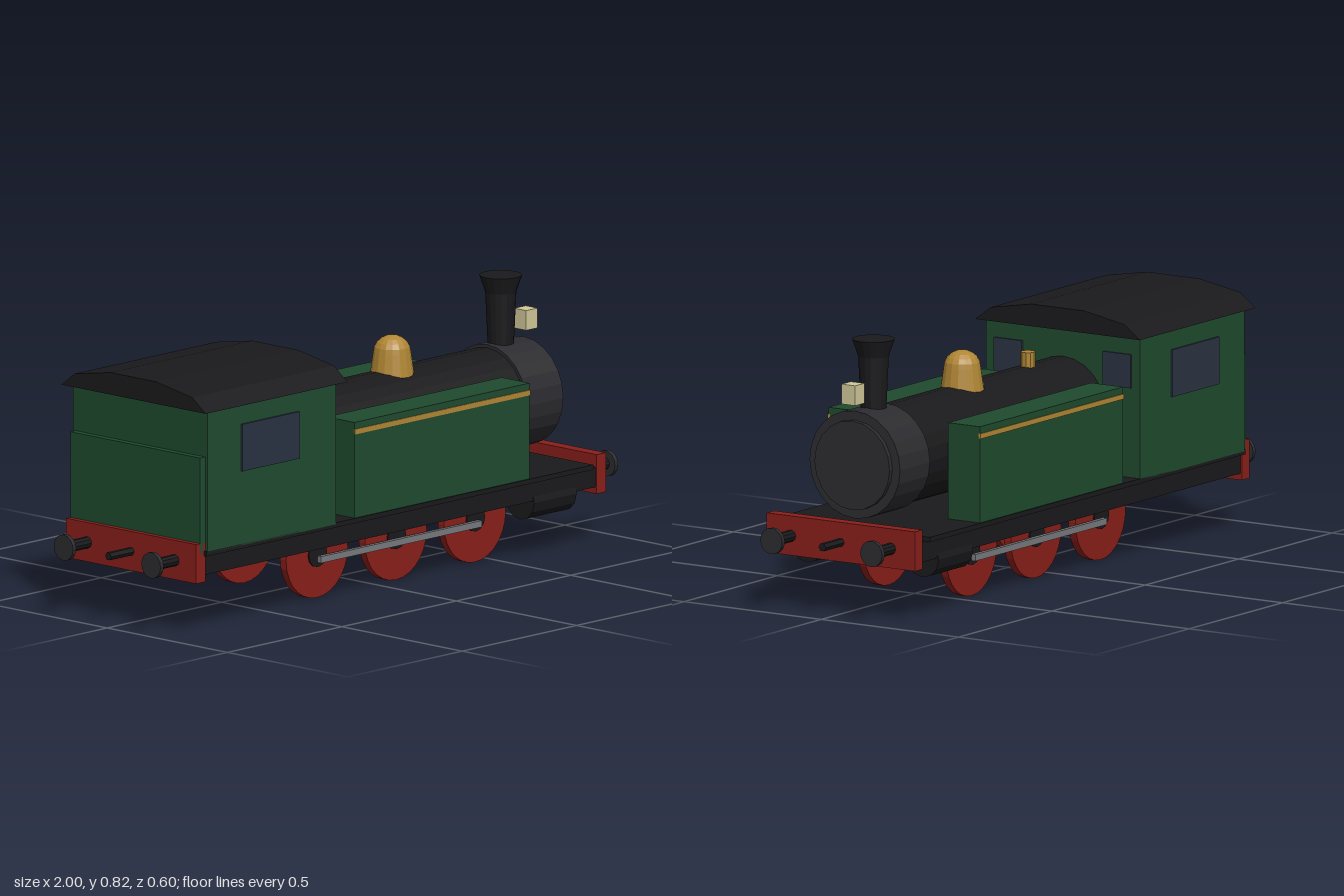
import * as THREE from 'three';

const mat = (color) => new THREE.MeshStandardMaterial({ color, flatShading: true });

export function createModel() {
  const root = new THREE.Group();
  const black = mat(0x1a1a1c), iron = mat(0x2c2c30), green = mat(0x1f4a2e), red = mat(0x8a1f1a);
  const brass = mat(0xb08634), glass = mat(0x2a3242), steel = mat(0x777a7d), cream = mat(0xd0c898);

  const add = (name, geometry, material, x = 0, y = 0, z = 0) => {
    const mesh = new THREE.Mesh(geometry, material);
    mesh.name = name;
    mesh.position.set(x, y, z);
    root.add(mesh);
    return mesh;
  };
  // Box given by its limits on each axis
  const box = (name, material, x0, x1, y0, y1, z0, z1) =>
    add(name, new THREE.BoxGeometry(x1 - x0, y1 - y0, z1 - z0), material,
      (x0 + x1) / 2, (y0 + y1) / 2, (z0 + z1) / 2);
  // Cylinder lying along x
  const barrel = (name, material, x0, x1, r, y, z, sides) =>
    add(name, new THREE.CylinderGeometry(r, r, Math.abs(x1 - x0), sides).rotateZ(-Math.PI / 2),
      material, (x0 + x1) / 2, y, z);
  const lathe = (name, material, points, sides, x) =>
    add(name, new THREE.LatheGeometry(points.map(p => new THREE.Vector2(...p)), sides), material, x);

  // Frame and running plate
  box('frame', black, -0.86, 0.86, 0.18, 0.242, -0.265, 0.265);
  box('runningPlate', black, -0.86, 0.83, 0.24, 0.255, -0.28, 0.28);

  // Boiler, smokebox and its door
  barrel('boiler', black, -0.3, 0.67, 0.155, 0.446, 0, 24);
  barrel('smokebox', iron, 0.66, 0.82, 0.165, 0.446, 0, 24);
  barrel('smokeboxDoor', iron, 0.82, 0.835, 0.137, 0.446, 0, 20);

  // Boiler fittings
  lathe('chimney', black, [[0, 0.59], [0.039, 0.59], [0.047, 0.765], [0.065, 0.817], [0, 0.817]], 16, 0.72);
  const domePoints = [[0.067, 0.585], [0.057, 0.655]];
  for (let i = 1; i <= 5; i++) {
    const a = i * Math.PI / 10;
    domePoints.push([0.057 * Math.cos(a), 0.655 + 0.052 * Math.sin(a)]);
  }
  lathe('steamDome', brass, domePoints, 16, 0.245);
  add('safetyValve', new THREE.CylinderGeometry(0.022, 0.022, 0.06, 10), brass, -0.107, 0.615);
  box('lamp', cream, 0.805, 0.855, 0.635, 0.696, -0.025, 0.025);

  // Cab, rear bunker panel and arched roof
  box('cab', green, -0.855, -0.295, 0.25, 0.69, -0.28, 0.28);
  box('bunkerPanel', green, -0.877, -0.85, 0.25, 0.545, -0.27, 0.27);
  const arch = new THREE.Shape([
    [-0.3, 0.687], [0.3, 0.687], [0.244, 0.729], [0.095, 0.755], [-0.095, 0.755], [-0.244, 0.729],
  ].map(p => new THREE.Vector2(...p)));
  add('cabRoof', new THREE.ExtrudeGeometry(arch, { depth: 0.62, bevelEnabled: false }).rotateY(Math.PI / 2),
    black, -0.885);

  for (const s of [1, -1]) {
    // Limits mirrored to the chosen side
    const sideBox = (name, m, x0, x1, y0, y1, a, b) =>
      box(name, m, x0, x1, y0, y1, Math.min(s * a, s * b), Math.max(s * a, s * b));

    sideBox('sideTank', green, -0.21, 0.556, 0.25, 0.55, 0.16, 0.276);
    sideBox('tankStripe', brass, -0.21, 0.556, 0.513, 0.529, 0.27, 0.279);
    sideBox('cabSideWindow', glass, -0.71, -0.46, 0.48, 0.625, 0.275, 0.287);
    sideBox('cabFrontWindow', glass, -0.3, -0.289, 0.53, 0.633, 0.147, 0.25);
    barrel('steamCylinder', black, 0.583, 0.768, 0.06, 0.175, s * 0.21, 12);

    // Wheels, hubs and coupling rod
    for (const x of [-0.255, 0.09, 0.435]) {
      const disc = (name, m, r, depth, z, sides) =>
        add(name, new THREE.CylinderGeometry(r, r, depth, sides).rotateX(Math.PI / 2), m, x, 0.135, s * z);
      disc('wheel', red, 0.135, 0.025, 0.151, 28);
      disc('wheelHub', black, 0.04, 0.03, 0.153, 12);
    }
    sideBox('couplingRod', steel, -0.26, 0.445, 0.11, 0.13, 0.17, 0.184);
  }

  // Buffer beams, buffers and coupling hooks at both ends
  for (const e of [1, -1]) {
    box('bufferBeam', red, e * 0.875 - 0.02, e * 0.875 + 0.02, 0.16, 0.281, -0.27, 0.27);
    barrel('couplingHook', black, e * 0.88, e * 0.995, 0.013, 0.22, 0, 6);
    for (const z of [-0.182, 0.182]) {
      barrel('bufferShaft', black, e * 0.88, e * 0.99, 0.018, 0.22, z, 10);
      barrel('bufferHead', iron, e * 0.986, e, 0.04, 0.22, z, 16);
    }
  }
  return root;
}
